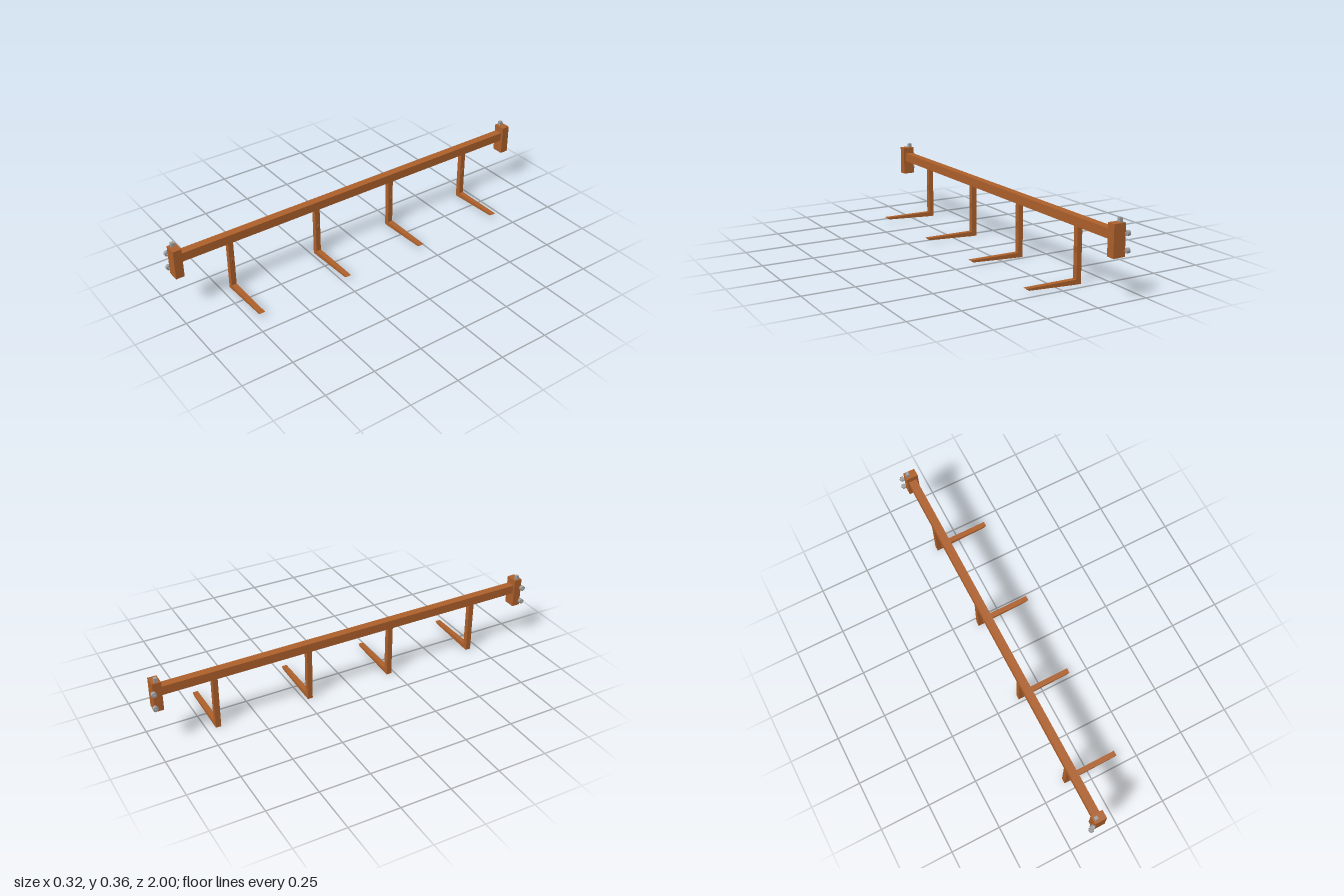
import * as THREE from 'three';

const rust = new THREE.MeshStandardMaterial({ color: 0xad602b, flatShading: true });
const steel = new THREE.MeshStandardMaterial({ color: 0xa0a0a0, flatShading: true });

// Box given by its minimum and maximum corners
function box(name, min, max, material = rust) {
  const size = max.map((v, i) => v - min[i]);
  const mesh = new THREE.Mesh(new THREE.BoxGeometry(...size), material);
  mesh.position.set(...max.map((v, i) => (v + min[i]) / 2));
  mesh.name = name;
  return mesh;
}

// Side profile in x-y, extruded symmetrically along z
function plate(name, points, width) {
  const shape = new THREE.Shape(points.map(([x, y]) => new THREE.Vector2(x, y)));
  const geometry = new THREE.ExtrudeGeometry(shape, { depth: width, bevelEnabled: false });
  geometry.translate(0, 0, -width / 2);
  const mesh = new THREE.Mesh(geometry, rust);
  mesh.name = name;
  return mesh;
}

// Cylinder lying along x
function rod(name, x0, x1, radius, y, z, sides) {
  const geometry = new THREE.CylinderGeometry(radius, radius, x1 - x0, sides).rotateZ(Math.PI / 2);
  const mesh = new THREE.Mesh(geometry, steel);
  mesh.position.set((x0 + x1) / 2, y, z);
  mesh.name = name;
  return mesh;
}

// Upright post with a tapered fork and a small catch
function createTine(z) {
  const tine = new THREE.Group();
  tine.name = 'tine';
  tine.position.z = z;
  tine.add(
    box('post', [-0.125, 0.002, -0.013], [-0.1, 0.27, 0.013]),
    plate('fork', [[-0.1, 0.002], [0.145, 0.015], [0.16, 0.025], [-0.1, 0.025]], 0.026),
    plate('catch', [[-0.101, 0.14], [-0.095, 0.168], [-0.095, 0.177], [-0.101, 0.177]], 0.008),
  );
  return tine;
}

// End block with a top peg and two bolts on its back edge
function createEnd(side) {
  const end = new THREE.Group();
  end.name = side > 0 ? 'frontEnd' : 'backEnd';
  const z = side * 0.967;
  end.add(
    box('endBlock', [-0.139, 0.196, z - 0.021], [-0.079, 0.343, z + 0.021]),
    box('peg', [-0.132, 0.343, z - 0.008], [-0.116, 0.363, z + 0.008], steel),
  );
  for (const y of [0.222, 0.297]) {
    const bz = side * 0.9875;
    end.add(
      rod('boltShaft', -0.163, -0.135, 0.005, y, bz, 8),
      rod('boltHead', -0.158, -0.142, 0.0125, y, bz, 12),
    );
  }
  return end;
}

export function createModel() {
  const model = new THREE.Group();
  model.name = 'forkBar';
  model.add(box('beam', [-0.13, 0.268, -0.95], [-0.09, 0.312, 0.95]));
  for (const z of [-0.695, -0.22, 0.22, 0.695]) model.add(createTine(z));
  for (const side of [-1, 1]) model.add(createEnd(side));
  return model;
}
